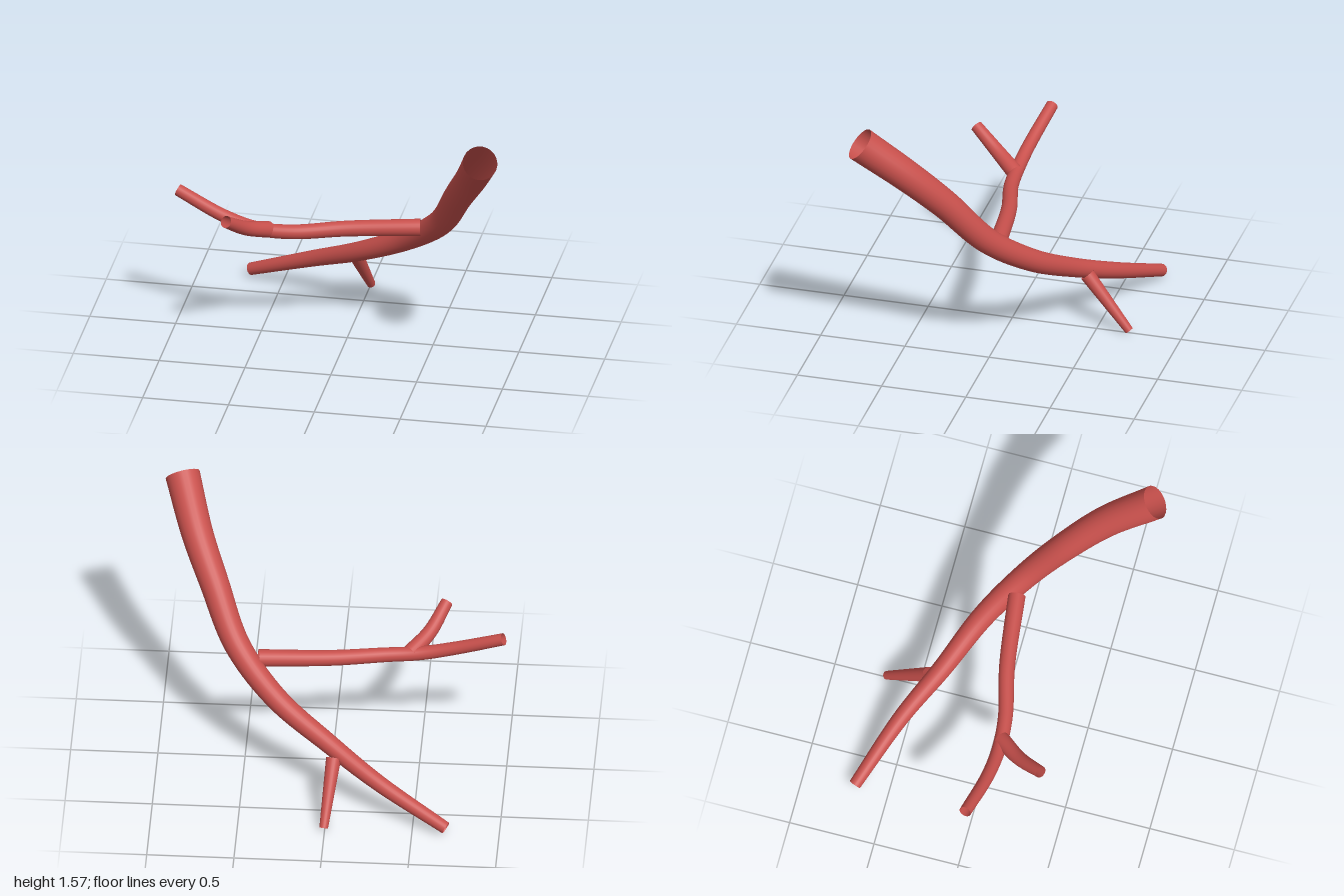
import * as THREE from 'three';

const vesselRed = new THREE.MeshStandardMaterial({ color: 0xc8504c, side: THREE.DoubleSide });
vesselRed.name = 'vessel red';

// Open-ended smooth tube through the points, tapering evenly from r0 to r1
function taperedTube(name, points, r0, r1, segments, sides = 24) {
  const curve = new THREE.CatmullRomCurve3(points.map(p => new THREE.Vector3(...p)), false, 'centripetal');
  const geo = new THREE.TubeGeometry(curve, segments, 1, sides, false);
  const pos = geo.attributes.position;
  const v = new THREE.Vector3();
  for (let i = 0; i <= segments; i++) {
    const t = i / segments;
    const centre = curve.getPointAt(t);
    const radius = THREE.MathUtils.lerp(r0, r1, t);
    for (let j = 0; j <= sides; j++) {
      const k = i * (sides + 1) + j;
      v.fromBufferAttribute(pos, k).sub(centre).multiplyScalar(radius).add(centre);
      pos.setXYZ(k, v.x, v.y, v.z);
    }
  }
  const mesh = new THREE.Mesh(geo, vesselRed);
  mesh.name = name;
  return mesh;
}

export function createModel() {
  const group = new THREE.Group();
  group.name = 'branchingVessel';

  // Main vessel, sweeping down from the wide mouth to the thin back end
  group.add(taperedTube('mainVessel', [
    [0.90, 1.505, 0.655], [0.80, 1.28, 0.40], [0.69, 1.07, 0.21], [0.545, 0.79, 0.0],
    [0.31, 0.57, -0.20], [0, 0.385, -0.365], [-0.30, 0.235, -0.53], [-0.695, 0.055, -0.695],
  ], 0.1, 0.036, 64));

  // Side branch reaching to the model's right
  group.add(taperedTube('sideBranch', [
    [0.42, 0.73, -0.035], [0, 0.71, 0.02], [-0.30, 0.695, 0.09], [-0.50, 0.705, 0.105],
    [-0.70, 0.76, 0.09], [-0.98, 0.875, 0.035],
  ], 0.05, 0.035, 48));

  // Forward fork of the side branch
  group.add(taperedTube('forwardFork', [
    [-0.44, 0.705, 0.105], [-0.545, 0.765, 0.235], [-0.632, 0.868, 0.388],
  ], 0.048, 0.035, 20));

  // Small straight twig under the main vessel
  group.add(taperedTube('lowerTwig', [
    [-0.035, 0.33, -0.435], [0.005, 0.024, -0.695],
  ], 0.043, 0.025, 12));

  return group;
}
